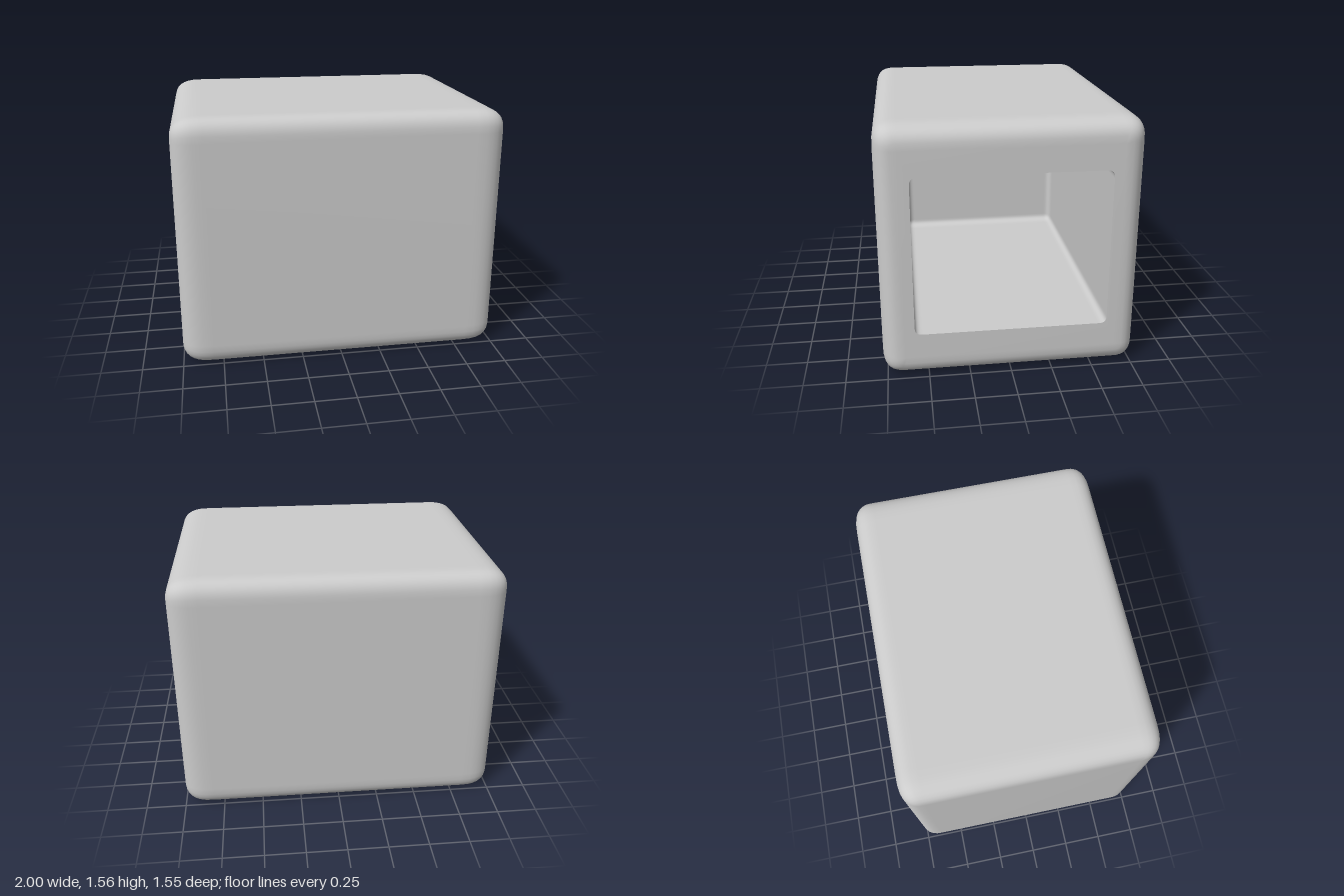
import * as THREE from 'three';
import { mergeVertices } from 'three/addons/utils/BufferGeometryUtils.js';

const CENTRE_Y = 0.778, STEPS = 8, E = 0.72; // E < 1 makes the roundings a little squarer than circles
const soft = (v) => Math.pow(Math.max(v, 0), E);
const quarter = (i) => {
  const a = (i / STEPS) * Math.PI / 2;
  return [soft(Math.cos(a)), soft(Math.sin(a))];
};

// Rounded rectangle across x, with half sizes hy and hz and corner radius r
function ring(x, hy, hz, r) {
  const points = [];
  [[1, 1], [-1, 1], [-1, -1], [1, -1]].forEach(([sz, sy], q) => {
    for (let i = 0; i <= STEPS; i++) {
      const [c, s] = quarter(q % 2 ? STEPS - i : i);
      points.push([x, CENTRE_Y + sy * (hy - r + r * s), sz * (hz - r + r * c)]);
    }
  });
  return points;
}

// Sections of a rounded end, from the flat face (i = 0) to the full size
function roundedEnd(x, side, depth, hy, hz, r) {
  const rings = [];
  for (let i = 0; i <= STEPS; i++) {
    const [c, s] = quarter(i);
    const inset = r * (1 - s);
    rings.push(ring(x + side * depth * (c - 1), hy - inset, hz - inset, r * s));
  }
  return rings;
}

// Smooth skin through a list of rings
function loft(rings) {
  const n = rings[0].length, index = [];
  for (let i = 0; i < rings.length - 1; i++) {
    for (let j = 0; j < n; j++) {
      const k = (j + 1) % n, a = i * n, b = a + n;
      index.push(a + j, b + j, a + k, b + j, b + k, a + k);
    }
  }
  const geometry = new THREE.BufferGeometry();
  geometry.setAttribute('position', new THREE.Float32BufferAttribute(rings.flat(2), 3));
  geometry.setIndex(index);
  const merged = mergeVertices(geometry, 1e-5);
  merged.computeVertexNormals();
  return merged;
}

export function createModel() {
  const group = new THREE.Group();
  group.name = 'hollowBox';
  const material = new THREE.MeshStandardMaterial({ color: 0xcccccc });
  const add = (name, rings) => {
    const mesh = new THREE.Mesh(loft(rings), material);
    mesh.name = name;
    group.add(mesh);
  };

  const outer = [0.19, 0.778, 0.777, 0.14];
  const hole = [0.487, 0.58, 0.05];

  // Outer shell: closed end, four walls, and the end face around the opening
  add('outerShell', [
    ring(-1, 0, 0, 0),
    ...roundedEnd(-1, -1, ...outer),
    ...roundedEnd(1, 1, ...outer).reverse(),
    ring(1, ...hole),
  ]);

  // Cavity: straight walls from the sharp rim to a rounded blind end
  add('cavity', [
    ring(1, ...hole),
    ...roundedEnd(-0.74, -1, 0.08, ...hole).reverse(),
    ring(-0.74, 0, 0, 0),
  ]);

  return group;
}
